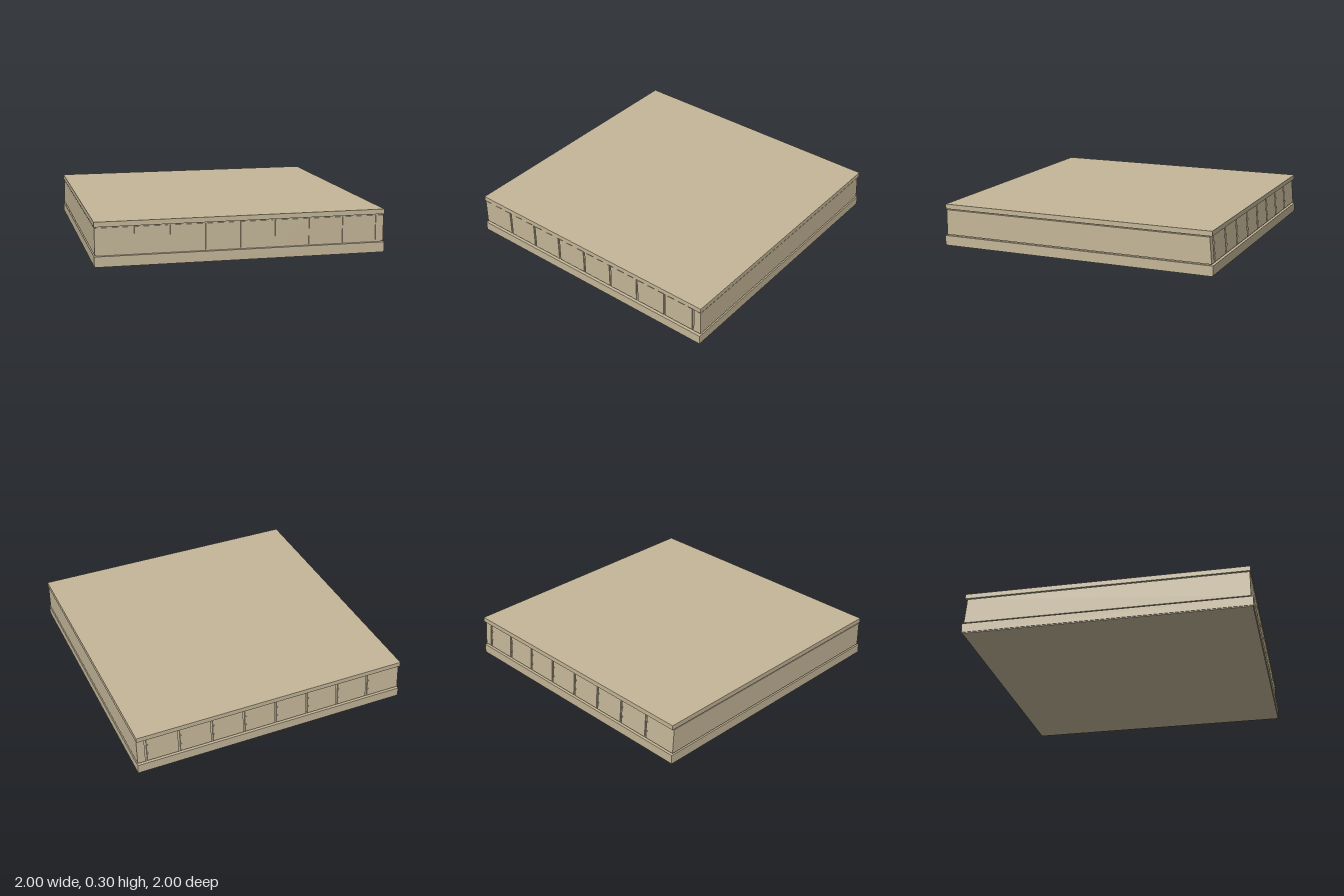
import * as THREE from 'three';

export function createModel() {
  const model = new THREE.Group();
  const material = new THREE.MeshStandardMaterial({ color: 0xc4b698, flatShading: true });

  function add(name, geometry, x = 0, y = 0, z = 0) {
    const mesh = new THREE.Mesh(geometry, material);
    mesh.name = name;
    mesh.position.set(x, y, z);
    model.add(mesh);
    return mesh;
  }

  // Side profile (z, y) extruded from x0 to x1
  function wallSection(name, x0, x1, profile) {
    const shape = new THREE.Shape(profile.map(([z, y]) => new THREE.Vector2(z, y)));
    const geometry = new THREE.ExtrudeGeometry(shape, { depth: x1 - x0, bevelEnabled: false });
    geometry.rotateY(-Math.PI / 2);
    return add(name, geometry, x1);
  }

  // Plinth, with a thin foot lip, and the roof slab
  add('foot', new THREE.BoxGeometry(1.99, 0.008, 1.99), 0, 0.004);
  add('plinth', new THREE.BoxGeometry(2, 0.066, 2), 0, 0.039);
  add('roofSlab', new THREE.BoxGeometry(1.996, 0.034, 1.98), 0, 0.283);

  // Recessed core seen in the joints
  wallSection('core', -0.985, 0.985, [[0.977, 0.07], [0.977, 0.27], [-0.964, 0.27], [-0.98, 0.07]]);

  // Wall panels: upright at the front, leaning in at the back
  const seams = Array.from({ length: 8 }, (_, i) => -0.739 + i * 0.2388);
  const edges = [-1.002, ...seams, 1.002];
  const panelProfile = [[0.985, 0.08], [0.985, 0.259], [-0.973, 0.259], [-0.988, 0.08]];
  for (let i = 0; i < edges.length - 1; i++) {
    wallSection('wallPanel', edges[i] + 0.007, edges[i + 1] - 0.007, panelProfile);
  }

  // Pairs of small studs beside each seam on the back wall
  const studGeometry = new THREE.CylinderGeometry(0.006, 0.006, 0.008, 8);
  studGeometry.rotateX(Math.PI / 2);
  for (const x of seams) {
    for (const y of [0.135, 0.205]) {
      const z = -0.988 + (y - 0.08) * (0.015 / 0.179);
      add('stud', studGeometry, x - 0.013, y, z - 0.001);
    }
  }

  return model;
}
